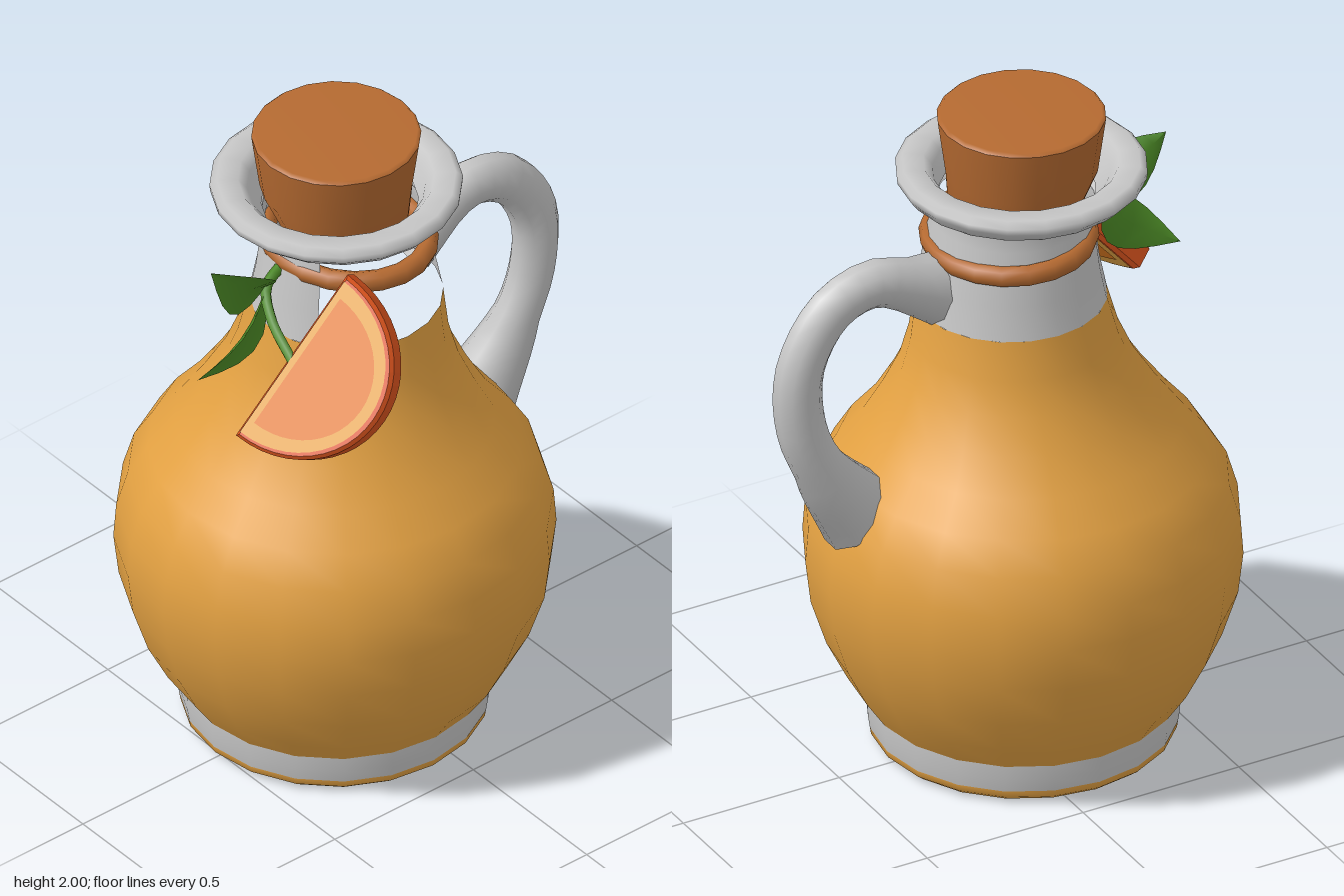
import * as THREE from 'three';

const mat = (name, color, side = THREE.FrontSide) => {
  const m = new THREE.MeshStandardMaterial({ color, side });
  m.name = name;
  return m;
};
const V = (x, y, z) => new THREE.Vector3(x, y, z);

// z of the bottle's axis, which leans slightly with height
function axisZ(y) {
  const keys = [[0, 0.09], [1, 0.09], [1.42, 0.05], [1.66, 0.05], [1.8, 0.085], [3, 0.085]];
  for (let i = 1; i < keys.length; i++) {
    const [y0, z0] = keys[i - 1], [y1, z1] = keys[i];
    if (y <= y1) return z0 + (z1 - z0) * Math.max(0, (y - y0) / (y1 - y0));
  }
  return 0.085;
}

// turned part following the axis
function turned(profile, sides = 20, start = 0, sweep = Math.PI * 2) {
  const g = new THREE.LatheGeometry(profile.map(p => new THREE.Vector2(p[0], p[1])), sides, start, sweep);
  const p = g.attributes.position;
  for (let i = 0; i < p.count; i++) p.setZ(i, p.getZ(i) + axisZ(p.getY(i)));
  return g;
}

// tube with a flattened section whose radius follows a rule along its length
function taperedTube(path, steps, sides, radius, flatX) {
  const g = new THREE.TubeGeometry(path, steps, 1, sides);
  const p = g.attributes.position;
  for (let i = 0; i < p.count; i++) {
    const t = Math.floor(i / (sides + 1)) / steps;
    const c = path.getPointAt(t), r = radius(t);
    const o = V(p.getX(i), p.getY(i), p.getZ(i)).sub(c).multiplyScalar(r);
    p.setXYZ(i, c.x + o.x * flatX, c.y + o.y, c.z + o.z);
  }
  return g;
}

// pointed leaf folded along its midrib, from base to tip
function leafGeometry(base, tip, width, side) {
  const dir = tip.clone().sub(base), len = dir.length();
  const g = new THREE.PlaneGeometry(2, 1, 2, 6);
  const p = g.attributes.position;
  for (let i = 0; i < p.count; i++) {
    const t = p.getY(i) + 0.5, s = p.getX(i);
    const w = width / 2 * Math.sin(Math.PI * Math.pow(t, 0.85));
    p.setXYZ(i, s * w, t * len, Math.abs(s) * w * 0.4 + 0.03 * Math.sin(Math.PI * t));
  }
  const y = dir.normalize();
  const z = side.clone().cross(y).normalize();
  const x = y.clone().cross(z);
  g.applyMatrix4(new THREE.Matrix4().makeBasis(x, y, z).setPosition(base));
  g.computeVertexNormals();
  return g;
}

// half ellipse, straight edge on the y axis, bulging to +x
function halfDisc(rx, ry, inset = 0) {
  const s = new THREE.Shape();
  s.moveTo(inset, -ry);
  s.absellipse(inset, 0, rx, ry, -Math.PI / 2, Math.PI / 2, false, 0);
  s.closePath();
  return s;
}

export function createModel() {
  const amber = mat('amber body', 0xe3a142);
  const white = mat('pale glaze', 0xc6c6c6, THREE.DoubleSide);
  const brown = mat('cork brown', 0xb56a31);
  const peel = mat('orange peel', 0xdb541e);
  const flesh = mat('orange flesh', 0xe07c22);
  const pith = mat('orange pith', 0xe4a546);
  const green = mat('leaf green', 0x4c8a26, THREE.DoubleSide);

  const root = new THREE.Group();
  const add = (name, geo, material, parent = root) => {
    const m = new THREE.Mesh(geo, material);
    m.name = name;
    parent.add(m);
    return m;
  };

  // bottle
  add('bottomDisc', turned([[0, 0], [0.415, 0.005]]).scale(1, 1, 1), amber).geometry.index.array.length;
  add('bottomEdge', turned([[0.415, 0.005], [0.433, 0.02], [0.436, 0.04]]), amber);
  add('baseBand', turned([[0.436, 0.04], [0.442, 0.08], [0.443, 0.125]]), white);
  add('body', turned([[0.443, 0.125], [0.5, 0.21], [0.56, 0.33], [0.605, 0.47], [0.62, 0.6], [0.612, 0.71],
    [0.58, 0.82], [0.525, 0.91], [0.45, 1.0], [0.385, 1.1], [0.33, 1.2], [0.295, 1.3], [0.272, 1.42]]), amber);

  // neck, open on the left side
  add('neck', turned([[0.272, 1.42], [0.252, 1.52], [0.24, 1.62], [0.225, 1.68], [0.225, 1.72]],
    14, THREE.MathUtils.degToRad(147), THREE.MathUtils.degToRad(246)), white);
  add('lip', turned([[0.225, 1.72], [0.26, 1.75], [0.325, 1.775], [0.353, 1.805], [0.355, 1.825], [0.335, 1.842],
    [0.275, 1.84], [0.25, 1.81], [0.22, 1.75]]), white);

  // stopper
  const cork = new THREE.Group();
  cork.name = 'cork';
  root.add(cork);
  add('corkSide', turned([[0.165, 1.65], [0.185, 1.7], [0.215, 1.82], [0.238, 1.99]]), brown, cork);
  add('corkTop', turned([[0.238, 1.99], [0.228, 2], [0, 2]]), brown, cork);
  add('corkBottom', turned([[0, 1.64], [0.165, 1.65]]), brown, cork);

  // cord round the neck
  const cord = add('neckCord', new THREE.TorusGeometry(0.238, 0.03, 8, 20).rotateX(Math.PI / 2), brown);
  cord.scale.set(1.0, 1.05, 0.93);
  cord.rotation.x = -0.05;
  cord.position.set(0, 1.62, 0.045);

  // handle
  const handlePath = new THREE.CatmullRomCurve3([
    V(0, 1.5, -0.16), V(0, 1.54, -0.27), V(0, 1.58, -0.4), V(0, 1.53, -0.53), V(0, 1.37, -0.625),
    V(0, 1.17, -0.62), V(0, 1.0, -0.545), V(0, 0.84, -0.43)]);
  const handleRadius = t => 0.073 + 0.045 * Math.max(0, 1 - t / 0.14) + 0.055 * Math.max(0, (t - 0.78) / 0.22);
  add('handle', taperedTube(handlePath, 24, 10, handleRadius, 0.82), white);

  // orange slice: straight edge along u, bulge along v, face along n
  const slice = new THREE.Group();
  slice.name = 'orangeSlice';
  const u = V(0.09, 0.755, -0.65).normalize();
  const v = V(0.92, -0.3, -0.225);
  v.addScaledVector(u, -v.dot(u)).normalize();
  const n = v.clone().cross(u);
  slice.applyMatrix4(new THREE.Matrix4().makeBasis(v, u, n).setPosition(0.215, 1.485, 0.4));
  root.add(slice);
  const rind = new THREE.ExtrudeGeometry(halfDisc(0.295, 0.268), {
    depth: 0.06, bevelEnabled: true, bevelThickness: 0.012, bevelSize: 0.01, bevelSegments: 1, curveSegments: 12 });
  add('rind', rind.translate(0, 0, -0.03), peel, slice);
  const plate = (name, shape, z, material) => {
    for (const s of [1, -1]) {
      const g = new THREE.ShapeGeometry(shape, 12);
      if (s < 0) g.rotateY(Math.PI).scale(-1, 1, 1);
      if (s < 0) for (let i = 0, a = g.index.array; i < a.length; i += 3) [a[i], a[i + 1]] = [a[i + 1], a[i]];
      // mirrored copy faces the other way
      if (s < 0) g.computeVertexNormals();
      add(name, g.translate(0, 0, s * z), material, slice);
    }
  };
  plate('pithFace', halfDisc(0.285, 0.26, -0.002), 0.045, pith);
  plate('fleshFace', halfDisc(0.235, 0.215, 0.018), 0.048, flesh);

  // leaves and stem
  const joint = V(0.015, 1.59, 0.35);
  add('upperLeaf', leafGeometry(joint, V(0.045, 1.765, 0.575), 0.16, V(0.35, 0.7, -0.6)), green);
  add('lowerLeaf', leafGeometry(joint, V(0.035, 1.4, 0.615), 0.15, V(0.35, 0.7, 0.6)), green);
  const stemPath = new THREE.CatmullRomCurve3([V(-0.01, 1.61, 0.28), joint, V(0.1, 1.545, 0.4), V(0.23, 1.49, 0.43)]);
  add('stem', new THREE.TubeGeometry(stemPath, 10, 0.016, 6), green);

  return root;
}
